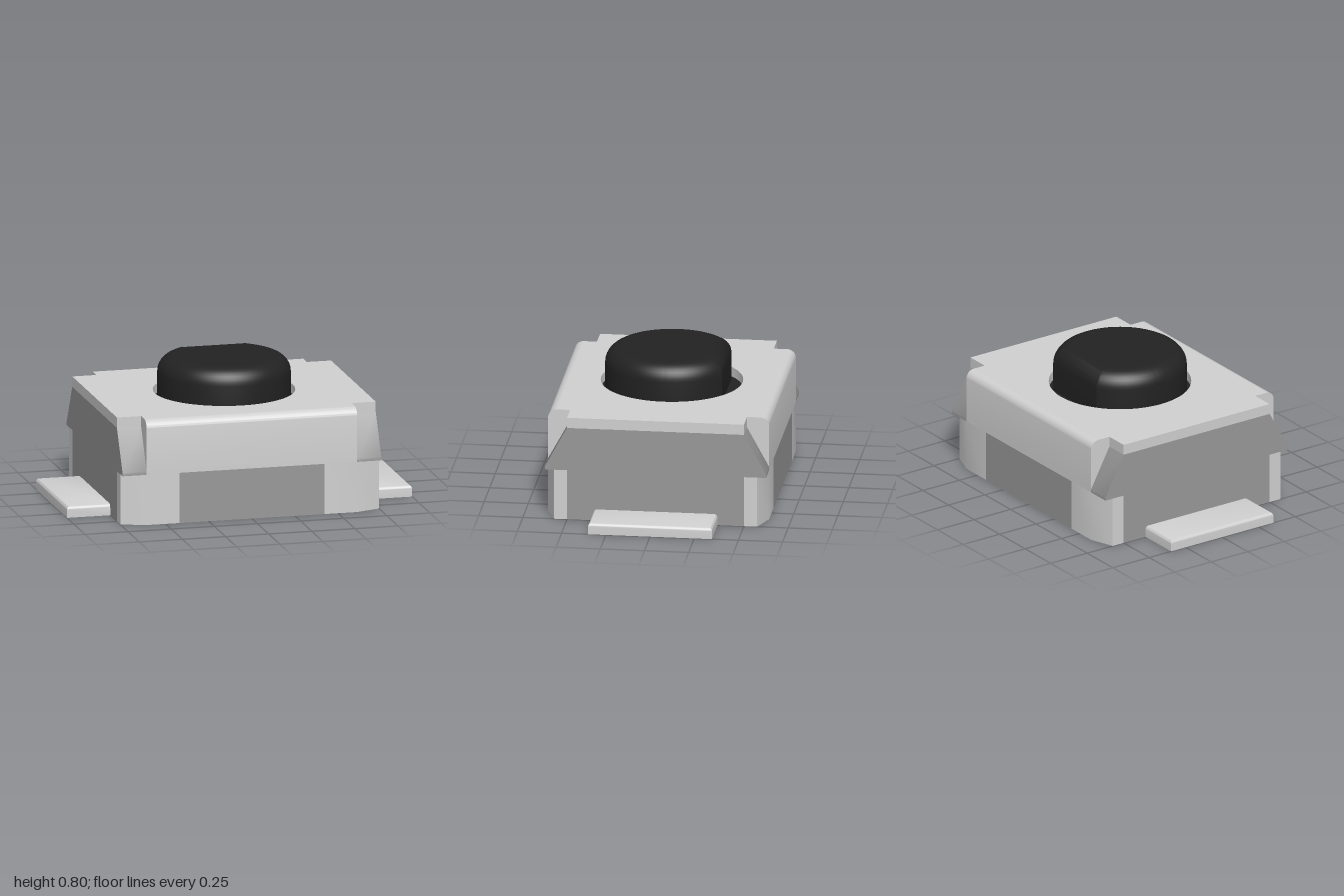
import * as THREE from 'three';
import { toCreasedNormals } from 'three/addons/utils/BufferGeometryUtils.js';

const mat = (name, color) => {
  const m = new THREE.MeshStandardMaterial({ color });
  m.name = name;
  return m;
};
const poly = (pts) => new THREE.Shape(pts.map(([x, y]) => new THREE.Vector2(x, y)));

// Plan outline (x, z) extruded from yTop down to yBottom
function planSolid(shape, yBottom, yTop, bevel = 0, curveSegments = 48) {
  const g = new THREE.ExtrudeGeometry(shape, {
    depth: yTop - yBottom - 2 * bevel, curveSegments,
    bevelEnabled: bevel > 0, bevelSize: bevel, bevelThickness: bevel,
    bevelOffset: -bevel, bevelSegments: 8,
  });
  g.rotateX(Math.PI / 2).translate(0, yTop - bevel, 0);
  return g;
}

// Side outline (z, y) extruded along x, centred on xMid
function sideSolid(shape, width, xMid = 0) {
  const g = new THREE.ExtrudeGeometry(shape, { depth: width, bevelEnabled: false, curveSegments: 10 });
  g.rotateY(-Math.PI / 2).translate(xMid + width / 2, 0, 0);
  return g;
}

export function createModel() {
  const model = new THREE.Group();
  model.name = 'pushButtonSwitch';
  const metal = mat('light metal', 0xd0d0d0);
  const plastic = mat('grey plastic', 0x989898);
  const black = mat('black plastic', 0x222222);

  const add = (parent, name, geometry, material) => {
    const mesh = new THREE.Mesh(toCreasedNormals(geometry, 0.6), material);
    mesh.name = name;
    parent.add(mesh);
    return mesh;
  };

  // Plastic body core
  const core = new THREE.BoxGeometry(1.5, 0.54, 1);
  core.translate(0, 0.27, 0);
  add(model, 'bodyCore', core, plastic);

  // Metal top plate with notched corners and a round hole
  const W = 0.75, N = 0.61, E = 0.575, D = 0.5;
  const plate = poly([[W, -D], [W, D], [N, D], [N, E], [-N, E], [-N, D],
    [-W, D], [-W, -D], [-N, -D], [-N, -E], [N, -E], [N, -D]]);
  const hole = new THREE.Path();
  hole.absarc(0, 0, 0.4, 0, Math.PI * 2, true);
  plate.holes.push(hole);
  add(model, 'coverTop', planSolid(plate, 0.54, 0.6), metal);

  // Front and back sides, the back being the front turned around
  for (const side of ['front', 'back']) {
    const half = new THREE.Group();
    half.name = side + 'Side';
    if (side === 'back') half.rotation.y = Math.PI;
    model.add(half);

    // Bent cover wall with a rounded top edge
    const wall = new THREE.Shape();
    wall.moveTo(D, 0.29);
    wall.lineTo(0.625, 0.29);
    wall.lineTo(0.625, 0.55);
    wall.absarc(E, 0.55, 0.05, 0, Math.PI / 2, false);
    wall.lineTo(E, 0.54);
    wall.lineTo(D, 0.54);
    add(half, 'coverWall', sideSolid(wall, 2 * N), metal);

    // Plastic panel between the cover legs
    const panel = [[0.42, 0.625], [0.42, E], [N, 0.55], [W, D]];
    const mirrored = panel.map(([x, z]) => [-x, z]).reverse();
    add(half, 'bodyPanel', planSolid(poly([...panel, ...mirrored]), 0, 0.29), plastic);

    for (const s of [-1, 1]) {
      // Cover leg wrapping the chamfered corner
      const leg = poly([[0.42, 0.625], [N, 0.625], [W, E], [W, D], [N, 0.55], [0.42, E]]
        .map(([x, z]) => [s * x, z]));
      add(half, 'coverLeg', planSolid(leg, 0, 0.29), metal);

      // Sloped plastic shoulder above the leg
      const shoulder = poly([[D, 0.29], [0.625, 0.29], [0.625, 0.31], [D, 0.54]]);
      add(half, 'bodyShoulder', sideSolid(shoulder, W - N, s * (W + N) / 2), plastic);
    }
  }

  // Solder terminals with rounded upper edges and a flat base
  for (const side of ['left', 'right']) {
    const g = planSolid(poly([[0.7, -0.35], [1, -0.35], [1, 0.35], [0.7, 0.35]]), -0.04, 0.065, 0.02);
    const p = g.attributes.position;
    for (let i = 0; i < p.count; i++) {
      p.setX(i, Math.max(p.getX(i), W));
      p.setY(i, Math.max(p.getY(i), 0));
    }
    const terminal = add(model, side + 'Terminal', g, metal);
    if (side === 'right') terminal.rotation.y = Math.PI;
  }

  // Dark floor seen through the hole
  const floor = new THREE.CircleGeometry(0.4, 64);
  floor.rotateX(-Math.PI / 2).translate(0, 0.545, 0);
  add(model, 'buttonBase', floor, black);

  // Round button with one flat side at the back
  const R = 0.375, a = Math.asin(0.31 / R);
  const outline = new THREE.Shape();
  outline.absarc(0, 0, R, -a, Math.PI + a, false);
  outline.closePath();
  add(model, 'button', planSolid(outline, 0.4, 0.8, 0.095, 64), black);

  return model;
}
